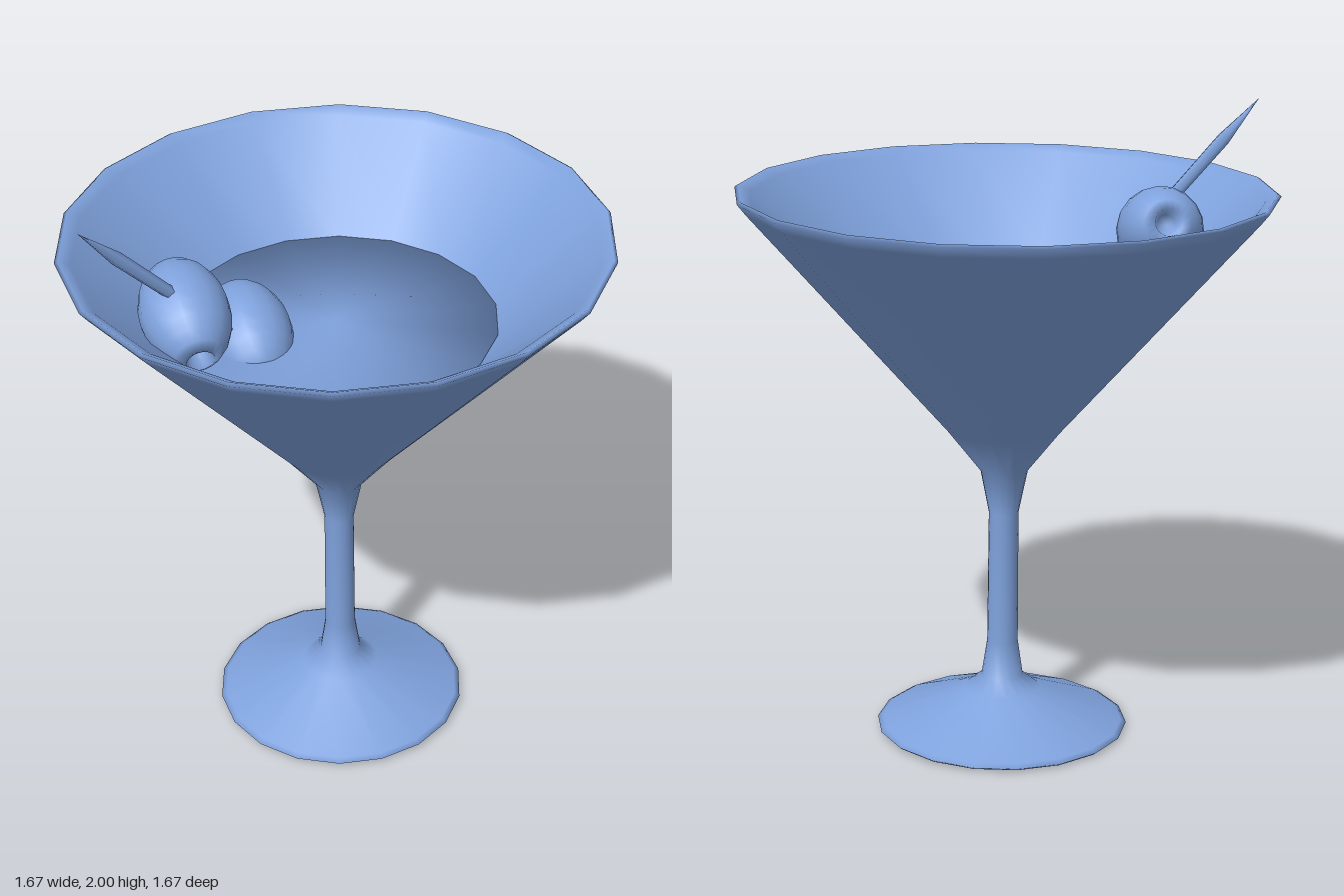
import * as THREE from 'three';

const blue = new THREE.MeshStandardMaterial({ color: 0x7fa2dd, side: THREE.DoubleSide });
const V = (x, y, z) => new THREE.Vector3(x, y, z);

// Smooth turned part from [radius, height] pairs
function turned(name, points, sides, phiStart = 0) {
  const profile = points.map(([r, y]) => new THREE.Vector2(r, y));
  const mesh = new THREE.Mesh(new THREE.LatheGeometry(profile, sides, phiStart), blue);
  mesh.name = name;
  return mesh;
}

// Aim a part's own y axis along a direction
function aim(part, centre, direction) {
  part.position.copy(centre);
  part.quaternion.setFromUnitVectors(V(0, 1, 0), direction.clone().normalize());
  return part;
}

// Egg-shaped olive with a dimpled hole at each end
function olive(name, centre, axis) {
  const half = 0.18, radius = 0.135, steps = 10;
  const points = [[0, -0.125], [0.03, -0.125]];
  for (let i = 0; i <= steps; i++) {
    const a = (-1 + (2 * i) / steps) * 1.25;
    points.push([radius * Math.cos(a), (half * Math.sin(a)) / Math.sin(1.25)]);
  }
  points.push([0.03, 0.125], [0, 0.125]);
  return aim(turned(name, points, 18), centre, axis);
}

export function createModel() {
  const model = new THREE.Group();
  model.name = 'cocktail';
  const turn = THREE.MathUtils.degToRad(5);

  // Glass and drink lean very slightly
  const vessel = new THREE.Group();
  vessel.name = 'vessel';
  vessel.position.set(0.012, 0.003, -0.005);
  vessel.rotation.set(0.003, 0, 0.009);
  model.add(vessel);

  // Foot, stem, outer cone, rolled rim and inner cone in one profile
  vessel.add(turned('glass', [
    [0, 0.005], [0.39, 0.005], [0.402, 0.014], [0.385, 0.024], [0.12, 0.13],
    [0.066, 0.175], [0.049, 0.29], [0.047, 0.72], [0.075, 0.86], [0.185, 1.0],
    [0.81, 1.715], [0.836, 1.748], [0.825, 1.755], [0.79, 1.735],
    [0.497, 1.462], [0.09, 1.07], [0, 1.04],
  ], 18, turn));

  // Drink: a smooth-shaded body filling the lower cone
  vessel.add(turned('drink', [[0, 1.06], [0.09, 1.075], [0.492, 1.46], [0, 1.46]], 18, turn));

  // Garnish: two olives on a pick
  const garnish = new THREE.Group();
  garnish.name = 'garnish';
  const axis = V(0.14, -0.12, 0.32);
  garnish.add(olive('upperOlive', V(-0.425, 1.61, 0.245), axis));
  garnish.add(olive('lowerOlive', V(-0.26, 1.45, 0.09), axis));

  // Pick pointed at its upper end
  const tip = V(-0.68, 2, 0.47), end = V(-0.23, 1.43, 0.13);
  const length = tip.distanceTo(end);
  const pick = turned('pick', [
    [0, -length / 2], [0.018, -length / 2 + 0.06],
    [0.022, length / 2 - 0.17], [0, length / 2],
  ], 5);
  garnish.add(aim(pick, tip.clone().add(end).multiplyScalar(0.5), tip.clone().sub(end)));
  model.add(garnish);

  return model;
}
